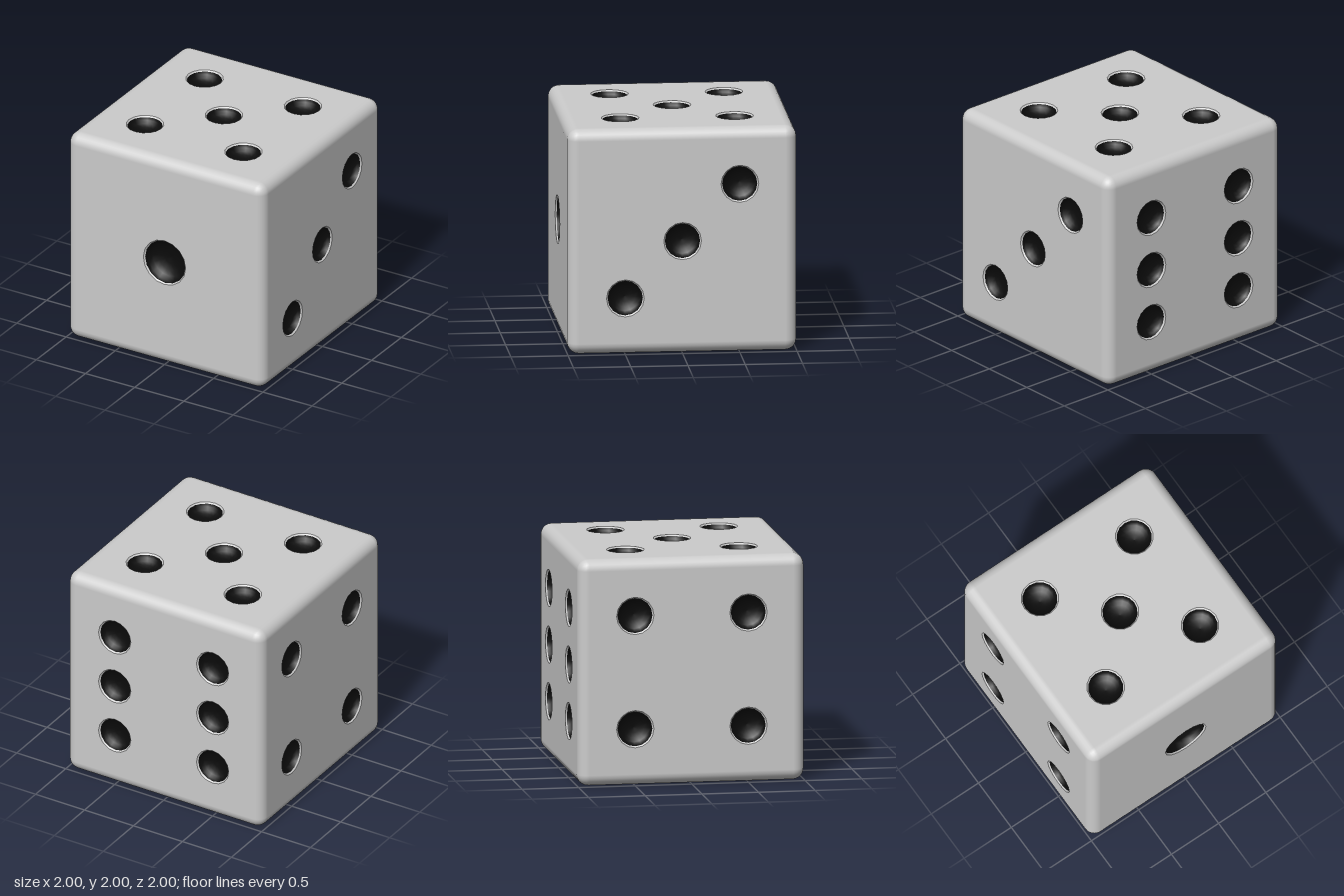
import * as THREE from 'three';
import { RoundedBoxGeometry } from 'three/addons/geometries/RoundedBoxGeometry.js';

const SIDES = 16, EDGE = 0.1;
const grey = new THREE.MeshStandardMaterial({ color: 0xcccccc });
const black = new THREE.MeshStandardMaterial({ color: 0x0b0b0b });

// Rounded edges and corners only: a rounded box without its six flat panels
function roundedEdges() {
  const box = new RoundedBoxGeometry(2, 2, 2, 3, EDGE);
  const geo = box.index ? box.toNonIndexed() : box;
  const pos = geo.attributes.position, nor = geo.attributes.normal;
  const p = [], n = [];
  for (let i = 0; i < pos.count; i += 3) {
    const flat = ['getX', 'getY', 'getZ'].some((get) =>
      [-1, 1].some((s) => [0, 1, 2].every((k) => Math.abs(pos[get](i + k) - s) < 1e-4)));
    if (flat) continue;
    for (let k = i; k < i + 3; k++) {
      p.push(pos.getX(k), pos.getY(k), pos.getZ(k));
      n.push(nor.getX(k), nor.getY(k), nor.getZ(k));
    }
  }
  const out = new THREE.BufferGeometry();
  out.setAttribute('position', new THREE.Float32BufferAttribute(p, 3));
  out.setAttribute('normal', new THREE.Float32BufferAttribute(n, 3));
  return out;
}

// Ring of points matching the lathe's corners
function circle(x, y, r) {
  return Array.from({ length: SIDES }, (_, i) => {
    const a = (i / SIDES) * Math.PI * 2;
    return new THREE.Vector2(x + r * Math.cos(a), y + r * Math.sin(a));
  });
}

// Surface of revolution sunk into a panel that faces +z
function dent(name, points, material, x, y) {
  const geo = new THREE.LatheGeometry(points, SIDES).rotateX(Math.PI / 2);
  const mesh = new THREE.Mesh(geo, material);
  mesh.name = name;
  mesh.position.set(x, y, 1);
  return mesh;
}

// One flat panel with its pips, built facing +z
function face(name, pips, r) {
  const group = new THREE.Group();
  group.name = name;
  const h = 1 - EDGE;
  const square = new THREE.Shape([[-h, -h], [h, -h], [h, h], [-h, h]].map((c) => new THREE.Vector2(...c)));
  square.holes = pips.map(([x, y]) => new THREE.Path(circle(x, y, r)));
  const panel = new THREE.Mesh(new THREE.ShapeGeometry(square), grey);
  panel.name = 'panel';
  panel.position.z = 1;
  group.add(panel);

  // Grey bevelled rim, then a shallow black bowl
  const inner = r - 0.012, lip = -0.012, depth = r * 0.5;
  const rim = [new THREE.Vector2(r, 0), new THREE.Vector2(inner, lip)];
  const bowl = Array.from({ length: 6 }, (_, i) => {
    const a = (i / 5) * Math.PI / 2;
    return new THREE.Vector2(i === 5 ? 0 : inner * Math.cos(a), lip - depth * Math.sin(a));
  });
  for (const [x, y] of pips) {
    group.add(dent('pipRim', rim, grey, x, y), dent('pip', bowl, black, x, y));
  }
  return group;
}

export function createModel() {
  const model = new THREE.Group();
  model.name = 'die';
  const body = new THREE.Group();
  body.name = 'body';
  body.position.y = 1;
  model.add(body);

  const edges = new THREE.Mesh(roundedEdges(), grey);
  edges.name = 'roundedEdges';
  body.add(edges);

  // Pip layouts
  const d = 0.5, q = Math.PI / 2;
  const centre = [[0, 0]];
  const two = [[d, d], [-d, -d]];
  const four = [...two, [-d, d], [d, -d]];
  const six = [...four, [-d, 0], [d, 0]];

  // name, pips, pip radius, rotation about x, rotation about y
  const faces = [
    ['frontFaceOne', centre, 0.215, 0, 0],
    ['bottomFaceTwo', two, 0.165, q, 0],
    ['leftFaceThree', [...two, ...centre], 0.165, 0, q],
    ['rightFaceFour', four, 0.165, 0, -q],
    ['topFaceFive', [...four, ...centre], 0.165, -q, 0],
    ['backFaceSix', six, 0.165, 0, Math.PI],
  ];
  for (const [name, pips, r, rx, ry] of faces) {
    const f = face(name, pips, r);
    f.rotation.set(rx, ry, 0);
    body.add(f);
  }
  return model;
}
